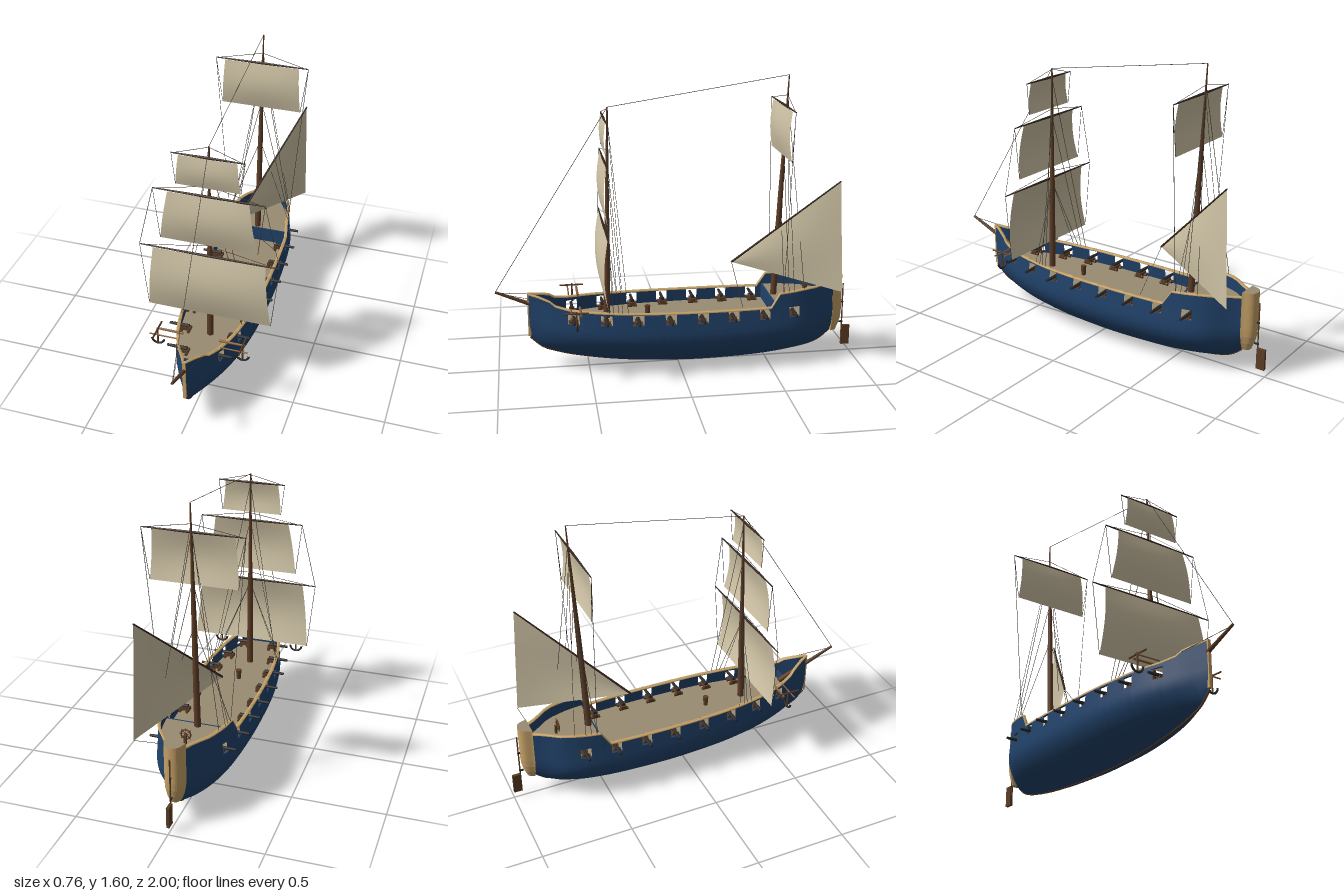
import * as THREE from 'three';

const mat = (name, color, side = THREE.FrontSide) => {
  const m = new THREE.MeshStandardMaterial({ color, side });
  m.name = name;
  return m;
};
const V = (x, y, z) => new THREE.Vector3(x, y, z);

// Smooth (hermite) or straight interpolation through [position, value] pairs
function table(pts, smooth = true) {
  const slope = i => {
    const a = pts[Math.max(i - 1, 0)], b = pts[Math.min(i + 1, pts.length - 1)];
    return (b[1] - a[1]) / (b[0] - a[0]);
  };
  return x => {
    if (x <= pts[0][0]) return pts[0][1];
    if (x >= pts[pts.length - 1][0]) return pts[pts.length - 1][1];
    const i = pts.findIndex(p => p[0] > x) - 1;
    const [x0, y0] = pts[i], [x1, y1] = pts[i + 1], h = x1 - x0, t = (x - x0) / h;
    if (!smooth) return y0 + (y1 - y0) * t;
    const s = t * t * (3 - 2 * t);
    return y0 + (y1 - y0) * s + h * t * (1 - t) * (slope(i) * (1 - t) - slope(i + 1) * t);
  };
}
// Hull lines: half breadth, keel height and rail height along z; section fullness by height
const beam = table([[-.88, .055], [-.85, .07], [-.8, .105], [-.75, .145], [-.7, .168], [-.6, .193], [-.4, .211],
  [-.1, .217], [.2, .207], [.4, .182], [.5, .16], [.6, .125], [.7, .078], [.8, .02], [.825, .008]]);
const keel = table([[-.88, .14], [-.83, .095], [-.75, .06], [-.5, .022], [-.2, .008], [0, .01], [.3, .03],
  [.6, .08], [.75, .13], [.8, .165], [.825, .2]]);
const rail = table([[-.88, .44], [-.7, .445], [-.54, .435], [-.49, .358], [0, .358], [.3, .362], [.6, .374],
  [.68, .39], [.71, .412], [.76, .428], [.825, .443]], false);
const fullness = table([[0, .03], [.05, .25], [.15, .53], [.28, .76], [.45, .94], [.6, 1], [.8, .98], [1, .95], [1.4, .92]]);
const half = (z, y) => beam(z) * fullness((y - keel(z)) / (.36 - keel(z)));

// Surface through a grid of points, leaving out skipped cells
function grid(rows, skip = () => false) {
  const n = rows[0].length, idx = [];
  for (let i = 0; i < rows.length - 1; i++) for (let j = 0; j < n - 1; j++) {
    if (skip(i, j)) continue;
    const a = i * n + j, b = a + n;
    idx.push(a, b, a + 1, b, b + 1, a + 1);
  }
  const g = new THREE.BufferGeometry().setFromPoints(rows.flat());
  g.setIndex(idx);
  g.computeVertexNormals();
  return g;
}

export function createModel() {
  const ship = new THREE.Group();
  ship.name = 'sailingShip';
  const D = THREE.DoubleSide;
  const navy = mat('navy hull', 0x21426a, D), deckM = mat('deck planks', 0x9a8b73, D), tan = mat('tan trim', 0xc6a268, D);
  const cloth = mat('sail cloth', 0xd0c4a6, D), brown = mat('brown wood', 0x5d3d26), dark = mat('dark spar', 0x35261d);
  const iron = mat('iron', 0x2b2b2b), rope = mat('rope', 0x3a352e), oak = mat('oak', 0x8a6238);

  const add = (name, geo, m, x = 0, y = 0, z = 0) => {
    const o = new THREE.Mesh(geo, m);
    o.name = name;
    o.position.set(x, y, z);
    ship.add(o);
    return o;
  };
  const box = (name, w, h, d, m, x, y, z) => add(name, new THREE.BoxGeometry(w, h, d), m, x, y, z);
  const rod = (name, a, b, r0, r1, m, sides = 10) => {
    const dir = b.clone().sub(a), mid = a.clone().add(b).multiplyScalar(.5);
    const o = add(name, new THREE.CylinderGeometry(r1, r0, dir.length(), sides), m, mid.x, mid.y, mid.z);
    o.quaternion.setFromUnitVectors(V(0, 1, 0), dir.normalize());
    return o;
  };
  const line = (...p) => { for (let i = 1; i < p.length; i++) rod('rigging', p[i - 1], p[i], .0014, .0014, rope, 4); };

  // Stations, with pairs at each gun port
  const ports = [.585, .41, .24, .065, -.11, -.28, -.455, -.625], pw = .031;
  const zs = [-.54, -.49, .68, .71, .76, .825, ...ports.flatMap(p => [p - pw, p + pw])];
  for (let i = 0; i <= 40; i++) zs.push(-.88 + 1.7 * i / 40);
  zs.sort((a, b) => a - b);
  const inPort = i => ports.some(p => Math.abs((zs[i] + zs[i + 1]) / 2 - p) < pw);
  const LO = .295, HI = .353, N = 14;

  for (const s of [-1, 1]) {
    // Outer planking and bulwark lining, pierced by the ports
    const outer = zs.map(z => {
      const k = keel(z), ys = [];
      for (let j = 0; j <= N; j++) ys.push(k + (LO - k) * Math.pow(j / N, 1.5));
      ys.push(HI, rail(z));
      return ys.map(y => V(s * half(z, y), y, z));
    });
    add('hullSide', grid(s > 0 ? outer : outer.map(r => [...r].reverse()),
      (i, j) => inPort(i) && j === (s > 0 ? N : 1)), navy);
    const inner = zs.map(z => [.28, LO, HI, rail(z)].map(y => V(s * Math.max(half(z, y) - .012, 0), y, z)));
    add('bulwarkLining', grid(inner, (i, j) => inPort(i) && j === 1), navy);
    // Sills and heads of the ports
    ports.forEach(p => [LO, HI].forEach(y =>
      add('portEdge', grid([p - pw, p + pw].map(z => [0, .012].map(d => V(s * (half(z, y) - d), y, z)))), navy)));
    // Rail cap
    const cap = zs.map(z => {
      const w = half(z, rail(z)), y = rail(z);
      return [[w + .003, y - .005], [w + .003, y + .004], [Math.max(w - .014, 0), y + .004], [Math.max(w - .014, 0), y - .005]]
        .map(([x, h]) => V(s * x, h, z));
    });
    add('railCap', grid(cap), oak);
    ship.children[ship.children.length - 1].material = tan;
  }

  // Decks and the bulkheads between them
  const deck = (name, y, z0, z1) => {
    const rows = [];
    for (let i = 0; i <= 30; i++) {
      const z = z0 + (z1 - z0) * i / 30, w = half(z, y) - .004;
      rows.push([V(-w, y, z), V(w, y, z)]);
    }
    add(name, grid(rows), deckM);
  };
  deck('mainDeck', .284, -.88, .82);
  deck('quarterDeck', .37, -.88, -.52);
  box('quarterBulkhead', .385, .088, .008, navy, 0, .327, -.52);
  box('bowBulkhead', .15, .05, .008, navy, 0, .308, .68);

  // Keel, stem and rounded stern post
  const kp = [];
  for (let i = 0; i <= 24; i++) { const z = -.88 + 1.7 * i / 24; kp.push(V(0, keel(z) + .002, z)); }
  add('keel', new THREE.TubeGeometry(new THREE.CatmullRomCurve3(kp), 60, .007, 6), brown);
  box('stem', .018, .245, .016, tan, 0, .323, .822);
  const st = new THREE.Shape();
  st.moveTo(-.058, 0);
  st.bezierCurveTo(-.045, .02, -.05, .065, 0, .065);
  st.bezierCurveTo(.05, .065, .045, .02, .058, 0);
  const sternGeo = new THREE.ExtrudeGeometry(st, { depth: .33, bevelEnabled: false, curveSegments: 12, steps: 8 });
  sternGeo.rotateX(-Math.PI / 2);
  const sp = sternGeo.attributes.position;
  for (let i = 0; i < sp.count; i++) {
    const k = 1 - .45 * Math.pow(Math.max(0, 1 - sp.getY(i) / .12), 2);
    sp.setX(i, sp.getX(i) * k);
    sp.setZ(i, sp.getZ(i) * k);
  }
  sternGeo.computeVertexNormals();
  add('sternPost', sternGeo, [deckM, tan], 0, .14, -.878);

  // Rudder
  box('rudderBlade', .016, .115, .048, brown, 0, .1, -.975);
  rod('rudderStock', V(0, .1, -.953), V(0, .41, -.953), .004, .004, brown, 6);
  [.18, .3].forEach(y => box('rudderHinge', .008, .008, .025, iron, 0, y, -.945));

  // Guns on wheeled carriages
  for (const z of ports) for (const s of [-1, 1]) {
    const w = half(z, .32);
    rod('gunBarrel', V(s * (w - .06), .317, z), V(s * (w + .052), .317, z), .011, .007, iron);
    box('gunCarriage', .06, .018, .03, brown, s * (w - .04), .303, z);
    for (const dx of [-.02, .02]) rod('carriageAxle', V(s * (w - .04) + dx, .293, z - .026), V(s * (w - .04) + dx, .293, z + .026), .009, .009, brown, 8);
  }

  // Masts and bowsprit
  const fore = y => V(0, y, .397 - .022 * (y - .28) / 1.175);
  const aft = y => V(0, y, -.545 - .058 * (y - .37) / 1.235);
  rod('foreMast', fore(.28), fore(.85), .019, .014, brown, 14);
  rod('foreTopmast', fore(.85), fore(1.455), .012, .004, brown, 14);
  rod('aftMast', aft(.37), aft(.95), .018, .014, brown, 14);
  rod('aftTopmast', aft(.95), aft(1.605), .014, .003, brown, 14);
  rod('bowsprit', V(0, .315, .65), V(0, .46, 1), .016, .007, brown, 12);

  // Square sails: mast, yard height, yard half length, sail top half width, foot height, foot half width, belly
  const squares = [[fore, .815, .38, .305, .43, .34, .035], [fore, 1.177, .295, .215, .88, .262, .026],
    [fore, 1.4, .19, .152, 1.225, .17, .014], [aft, 1.447, .265, .212, 1.175, .228, .022]];
  for (const [mast, y, len, top, foot, bot, belly] of squares) {
    const z = mast(y).z + .02;
    for (const s of [-1, 1]) {
      rod('yard', V(0, y, z), V(s * len, y, z), .007, .003, dark, 8);
      line(V(s * len, y, z), V(s * bot, foot, z + .004));
      line(V(s * len * .95, y, z), mast(y + .05));
    }
    const rows = [];
    for (let i = 0; i <= 12; i++) {
      const v = i / 12, w = top + (bot - top) * v, row = [];
      for (let j = 0; j <= 12; j++) {
        const u = j / 6 - 1;
        row.push(V(u * w, y - .005 + (foot - y + .005) * v, z + .004 + belly * Math.sin(Math.PI * v) * (1 - .4 * u * u)));
      }
      rows.push(row);
    }
    add('squareSail', grid(rows), cloth);
  }

  // Slanted yard with triangular sail
  const A = V(-.06, .55, -.315), B = V(.205, 1.06, -.85), C = V(.215, .437, -.88);
  rod('lateenYard', A, B, .006, .004, dark, 8);
  const tri = [];
  for (let i = 0; i <= 8; i++) {
    const a = A.clone().lerp(B, i / 8), b = A.clone().lerp(C, i / 8), row = [];
    for (let j = 0; j <= 8; j++) {
      const p = a.clone().lerp(b, j / 8);
      p.x += .015 * Math.sin(Math.PI * j / 8) * Math.sin(Math.PI * i / 8);
      row.push(p);
    }
    tri.push(row);
  }
  add('lateenSail', grid(tri), cloth);
  line(A, V(.17, .36, -.335));
  line(C, V(.05, .44, -.87));

  // Stays, shrouds and braces
  line(V(0, .46, 1), fore(1.455), aft(1.605));
  for (const s of [-1, 1]) {
    const to = z => V(s * half(z, rail(z)), rail(z), z);
    [[.8, .375], [.8, .345], [1.18, .325], [1.4, .295]].forEach(([y, z]) => line(fore(y), to(z)));
    [[.95, -.56], [1.2, -.59], [1.45, -.62], [1.5, -.68]].forEach(([y, z]) => line(aft(y), to(z)));
    line(V(0, .455, .99), to(.7));
    line(V(s * .295, 1.177, .4), V(s * .38, .815, .407));
    line(V(s * .265, 1.447, -.575), to(-.56));
  }

  // Anchors hung from beams at the bow
  for (const s of [-1, 1]) {
    rod('cathead', V(s * .1, .385, .55), V(s * .24, .385, .55), .007, .006, oak, 6);
    rod('anchorBeam', V(s * .12, .385, .6), V(s * .27, .385, .6), .004, .004, oak, 6);
    rod('anchorStock', V(s * .235, .4, .51), V(s * .235, .4, .645), .005, .005, brown, 6);
    rod('anchorShank', V(s * .235, .41, .575), V(s * .235, .31, .575), .005, .005, brown, 6);
    const arms = add('anchorArms', new THREE.TorusGeometry(.035, .006, 6, 12, Math.PI), iron, s * .235, .342, .575);
    arms.rotation.z = Math.PI;
  }

  // Steering wheel and capstan
  add('wheelRim', new THREE.TorusGeometry(.026, .004, 6, 20), brown, 0, .42, -.72);
  for (let i = 0; i < 4; i++) {
    const a = i * Math.PI / 4, x = .036 * Math.cos(a), y = .036 * Math.sin(a);
    rod('wheelSpoke', V(-x, .42 - y, -.72), V(x, .42 + y, -.72), .002, .002, brown, 5);
  }
  box('wheelStand', .014, .05, .012, brown, 0, .395, -.732);
  rod('capstan', V(0, .284, .17), V(0, .34, .17), .012, .016, brown, 10);
  return ship;
}
